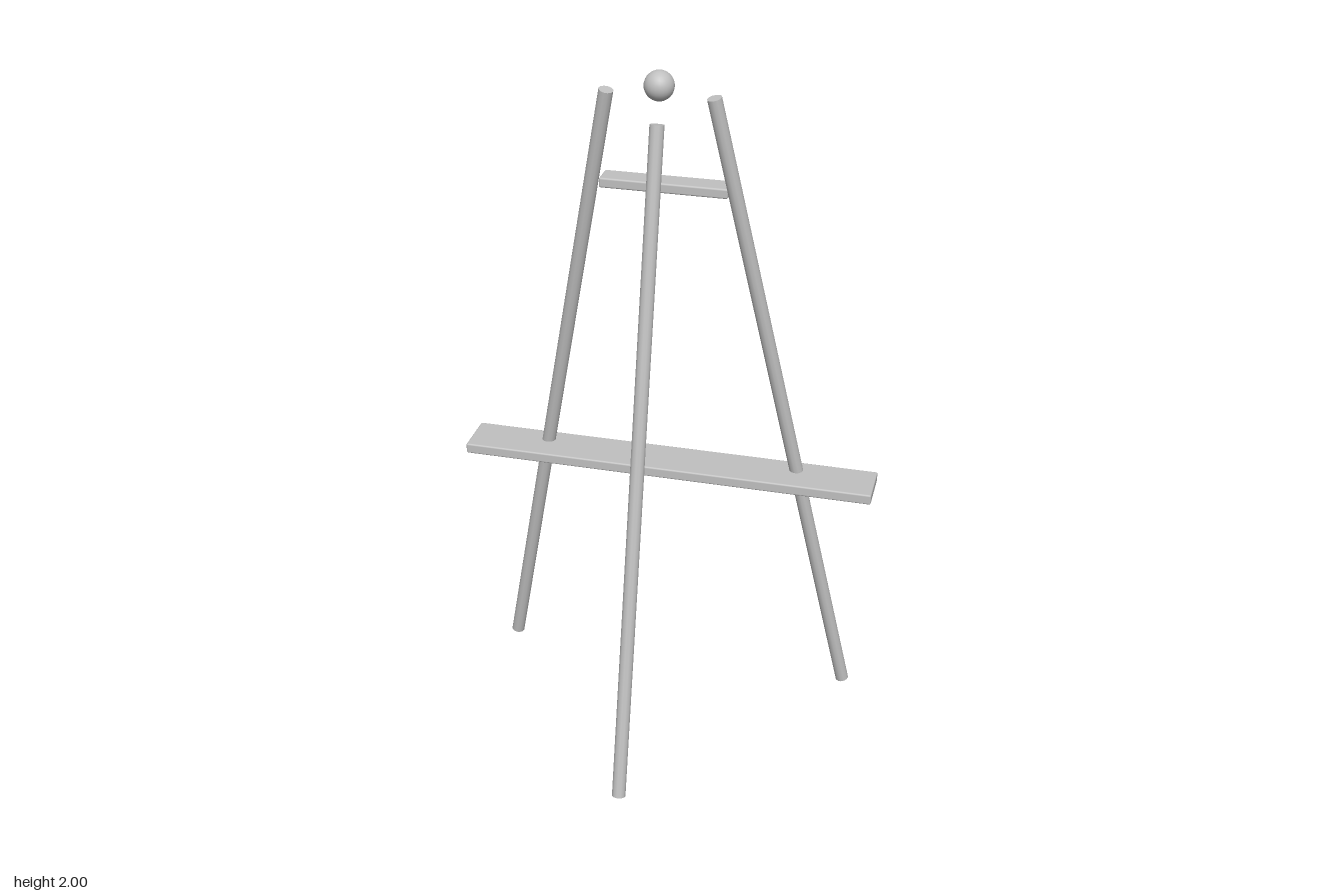
import * as THREE from 'three';
import { RoundedBoxGeometry } from 'three/addons/geometries/RoundedBoxGeometry.js';

export function createModel() {
  const model = new THREE.Group();
  model.name = 'easel';
  const grey = new THREE.MeshStandardMaterial({ color: 0xc0c0c0 });
  grey.name = 'light grey';

  const add = (name, geometry) => {
    const mesh = new THREE.Mesh(geometry, grey);
    mesh.name = name;
    model.add(mesh);
    return mesh;
  };

  // Round pole between two points
  const pole = (name, bottom, top) => {
    const a = new THREE.Vector3(...bottom);
    const b = new THREE.Vector3(...top);
    const axis = b.clone().sub(a);
    const mesh = add(name, new THREE.CylinderGeometry(0.02, 0.02, axis.length(), 12));
    mesh.position.copy(a).add(b).multiplyScalar(0.5);
    mesh.quaternion.setFromUnitVectors(new THREE.Vector3(0, 1, 0), axis.normalize());
  };

  // Three splayed legs
  for (const [name, side] of [['leftLeg', 1], ['rightLeg', -1]]) {
    pole(name, [side * 0.535, 0.005, -0.355], [side * 0.143, 1.936, -0.107]);
  }
  pole('frontLeg', [0, 0.005, 0.356], [0, 1.864, -0.078]);

  // Flat boards with slightly softened edges
  const board = (name, width, height, depth, y, z) => {
    add(name, new RoundedBoxGeometry(width, height, depth, 2, 0.005)).position.set(0, y, z);
  };
  board('shelf', 1.21, 0.031, 0.139, 0.78, -0.231);
  board('upperCrossbar', 0.352, 0.028, 0.067, 1.667, -0.173);

  // Ball finial floating above the leg tops
  add('finial', new THREE.SphereGeometry(0.04, 24, 16)).position.set(0, 1.96, -0.1);

  return model;
}
